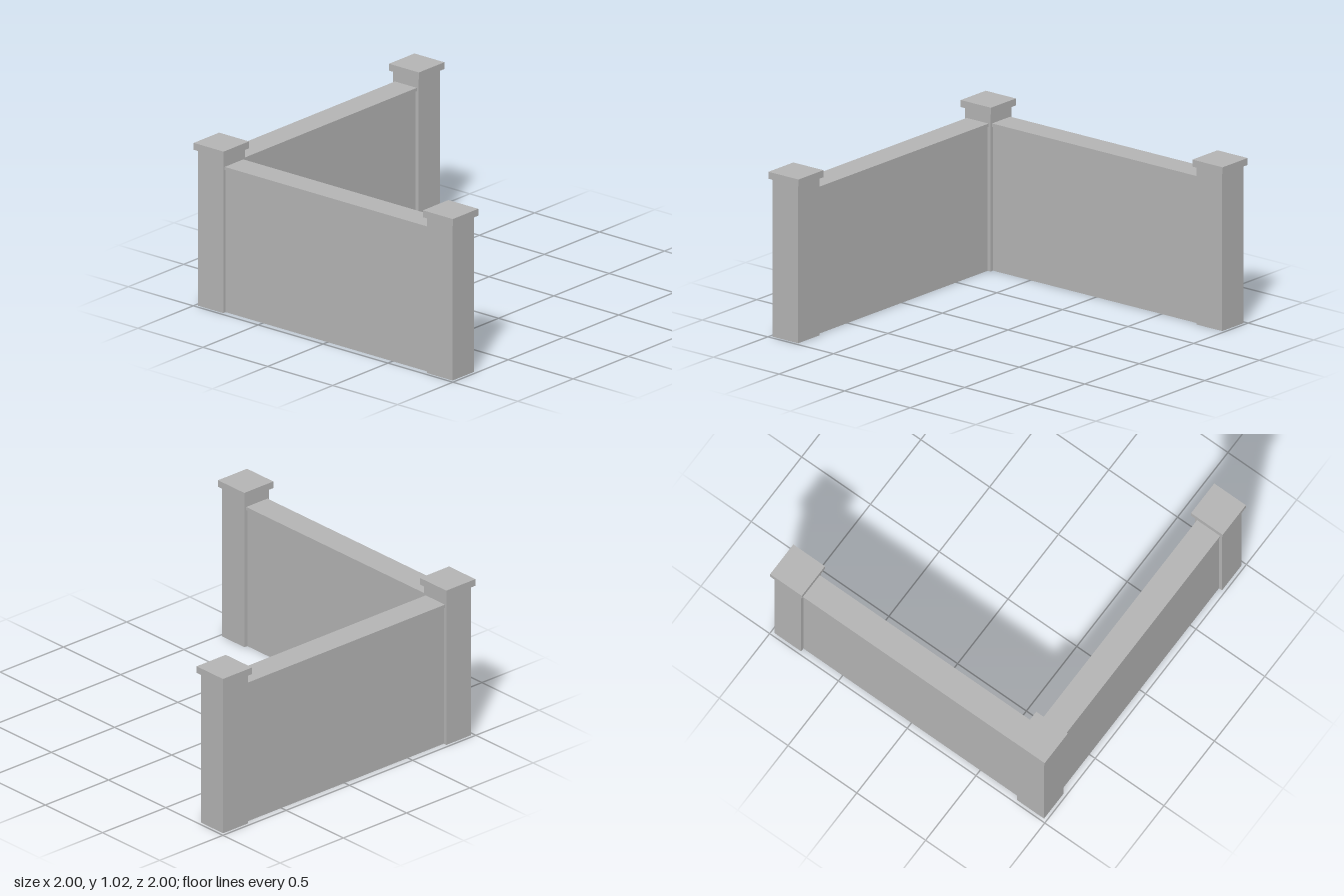
import * as THREE from 'three';

export function createModel() {
  const model = new THREE.Group();
  const stone = new THREE.MeshStandardMaterial({ color: 0xb4b4b4 });
  stone.name = 'grey stone';

  // Box standing on height y
  const box = (parent, name, w, h, d, x, y, z) => {
    const mesh = new THREE.Mesh(new THREE.BoxGeometry(w, h, d), stone);
    mesh.name = name;
    mesh.position.set(x, y + h / 2, z);
    parent.add(mesh);
  };

  const c = 0.883; // post centre offset

  // Square posts with overhanging caps
  const posts = { cornerPost: [-c, -c], leftPost: [c, -c], frontPost: [-c, c] };
  for (const [name, [x, z]] of Object.entries(posts)) {
    const post = new THREE.Group();
    post.name = name;
    post.position.set(x, 0, z);
    box(post, 'shaft', 0.195, 0.975, 0.195, 0, 0, 0);
    box(post, 'cap', 0.23, 0.043, 0.23, 0, 0.975, 0);
    model.add(post);
  }

  // Wall panels topped by a thin coping, running between the posts
  const length = 2 * (c - 0.0975);
  for (const [name, x, z, angle] of [['backWall', 0, -c, 0], ['sideWall', -c, 0, Math.PI / 2]]) {
    const wall = new THREE.Group();
    wall.name = name;
    wall.position.set(x, 0, z);
    wall.rotation.y = angle;
    box(wall, 'panel', length, 0.89, 0.15, 0, 0, 0);
    box(wall, 'coping', length, 0.02, 0.168, 0, 0.89, 0);
    model.add(wall);
  }

  return model;
}
